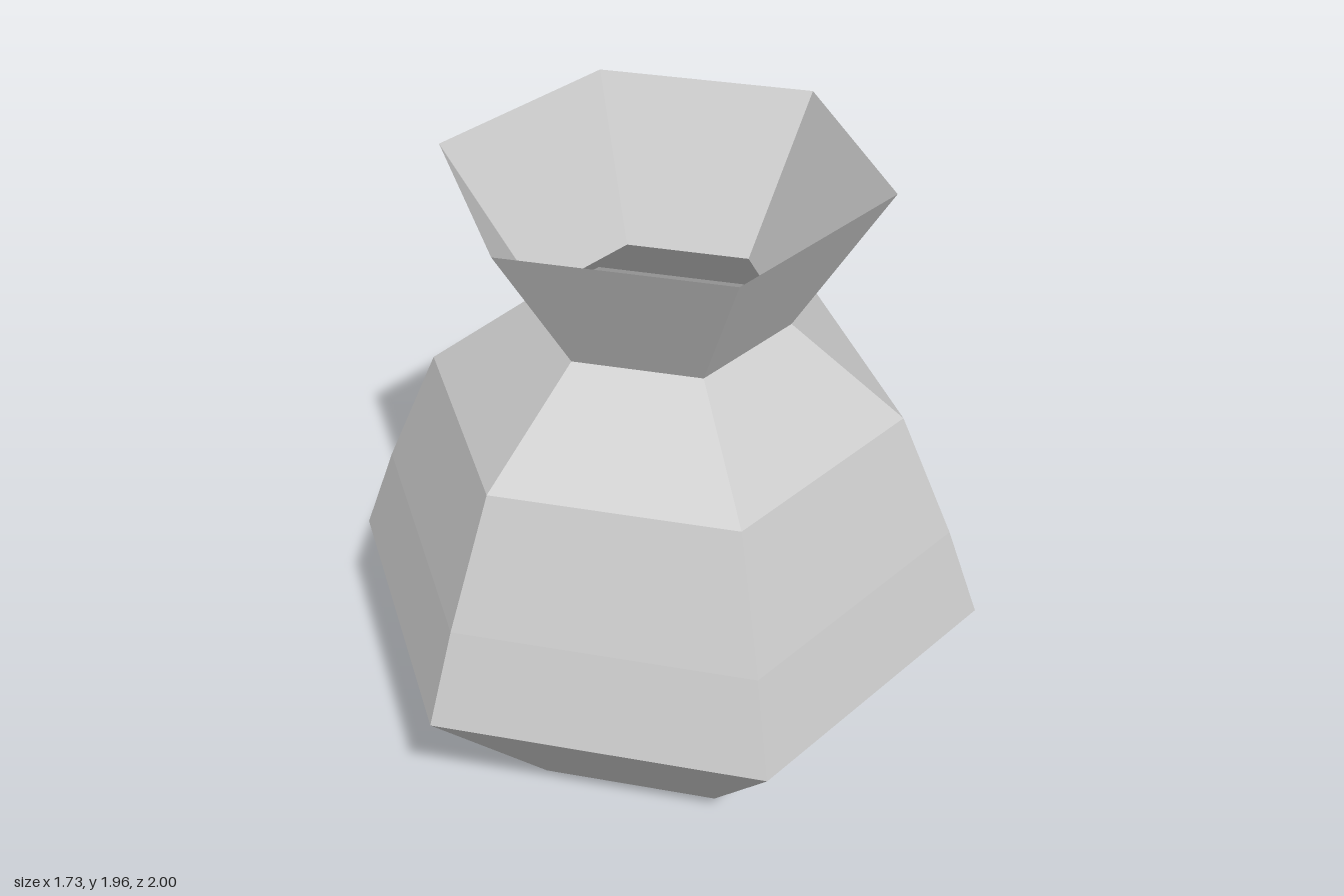
import * as THREE from 'three';

const SIDES = 6;

export function createModel() {
  const group = new THREE.Group();
  group.name = 'vase';
  // thin open shell, faceted
  const material = new THREE.MeshStandardMaterial({
    color: 0xcccccc, flatShading: true, side: THREE.DoubleSide,
  });

  const addRing = (name, profile) => {
    const points = profile.map(([r, y]) => new THREE.Vector2(r, y));
    const mesh = new THREE.Mesh(new THREE.LatheGeometry(points, SIDES), material);
    mesh.name = name;
    group.add(mesh);
  };

  // tapered foot
  addRing('lowerBody', [[0.55, 0], [1, 0.525]]);
  // slightly bulging belly and sloping shoulder
  addRing('upperBody', [[1, 0.525], [0.895, 0.82], [0.725, 1.22], [0.38, 1.5]]);
  // flared open neck
  addRing('neck', [[0.38, 1.5], [0.655, 1.96]]);

  // flat base, corners aligned with the shell
  const base = new THREE.Mesh(
    new THREE.CircleGeometry(0.55, SIDES).rotateZ(Math.PI / 2).rotateX(Math.PI / 2),
    material);
  base.name = 'base';
  group.add(base);

  return group;
}
